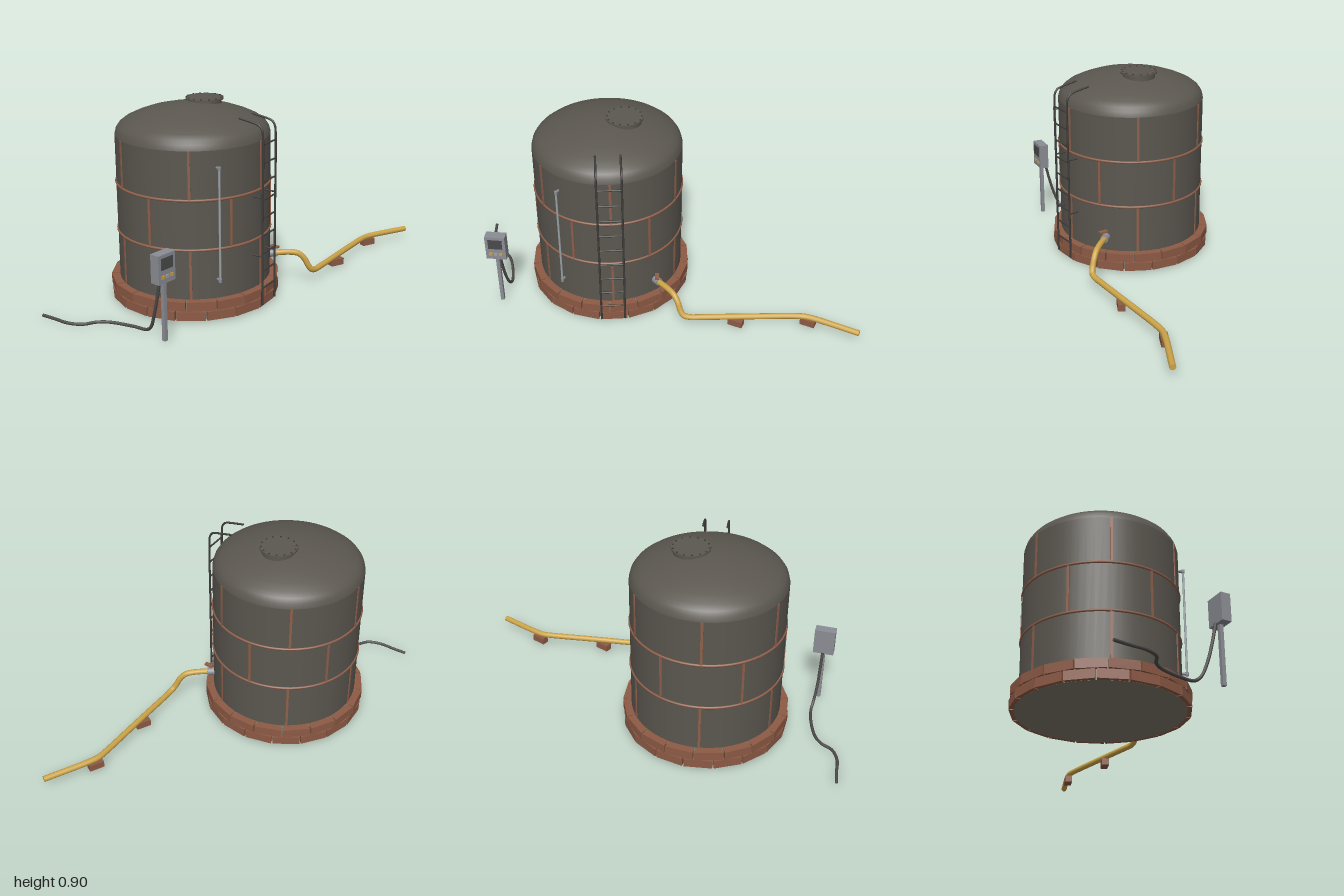
import * as THREE from 'three';

const mat = (name, color, side = THREE.FrontSide) => {
  const m = new THREE.MeshStandardMaterial({ color, side });
  m.name = name;
  return m;
};
const V = (x, y, z) => new THREE.Vector3(x, y, z);

export function createModel() {
  const M = {
    tank: mat('tank grey', 0x5b5750, THREE.DoubleSide),
    copper: mat('seam copper', 0x8f5f4a),
    brick: mat('brick', 0x8d5a45),
    mortar: mat('mortar', 0x7d7666),
    pipe: mat('yellow pipe', 0xcba348),
    iron: mat('dark iron', 0x3f3d3b),
    steel: mat('steel', 0x8b8d94),
    glass: mat('gauge glass', 0x9aa3a8),
    screen: mat('screen', 0x4a4a4a),
    cable: mat('cable', 0x4c4b49),
  };
  const model = new THREE.Group();
  const CX = -0.272, CZ = -0.041, R = 0.347;

  const add = (parent, name, geo, material, x = 0, y = 0, z = 0, ry = 0) => {
    const m = new THREE.Mesh(geo, material);
    m.name = name;
    m.position.set(x, y, z);
    m.rotation.y = ry;
    parent.add(m);
    return m;
  };
  // straight round bar between two points
  const bar = (parent, name, a, b, r, material, sides = 10) => {
    const m = add(parent, name, new THREE.CylinderGeometry(r, r, a.distanceTo(b), sides), material);
    m.position.copy(a).add(b).multiplyScalar(0.5);
    m.quaternion.setFromUnitVectors(V(0, 1, 0), b.clone().sub(a).normalize());
    return m;
  };
  // swept tube with closed ends
  const tube = (parent, name, pts, r, material, segs = 80, sides = 14) => {
    const curve = new THREE.CatmullRomCurve3(pts, false, 'centripetal');
    add(parent, name, new THREE.TubeGeometry(curve, segs, r, sides), material);
    for (const t of [0, 1]) {
      const cap = add(parent, name + 'End', new THREE.CircleGeometry(r, sides), material);
      cap.position.copy(curve.getPoint(t));
      cap.quaternion.setFromUnitVectors(V(0, 0, 1), curve.getTangent(t).multiplyScalar(t ? 1 : -1));
    }
  };

  // tank group: local axes centred on the tank
  const tank = new THREE.Group();
  tank.name = 'tank';
  tank.position.set(CX, 0, CZ);
  model.add(tank);
  add(tank, 'tankWall', new THREE.CylinderGeometry(R, R, 0.665, 64, 1, true), M.tank, 0, 0.4225, 0);
  const dome = [[R, 0.755], [0.341, 0.778], [0.328, 0.797], [0.305, 0.815], [0.265, 0.834],
    [0.21, 0.854], [0.14, 0.871], [0.07, 0.882], [0, 0.885]].map(p => new THREE.Vector2(...p));
  add(tank, 'tankDome', new THREE.LatheGeometry(dome, 64), M.tank);

  // copper bands and staggered vertical seams
  for (const y of [0.318, 0.54]) {
    const ring = add(tank, 'band', new THREE.TorusGeometry(R, 0.006, 8, 64), M.copper, 0, y, 0);
    ring.rotation.x = Math.PI / 2;
  }
  [[0.095, 0.318, 0], [0.318, 0.54, 30], [0.54, 0.755, 0]].forEach(([y0, y1, off]) => {
    for (let i = 0; i < 6; i++) {
      const a = THREE.MathUtils.degToRad(off + i * 60);
      add(tank, 'seam', new THREE.BoxGeometry(0.007, y1 - y0, 0.011), M.copper,
        R * Math.cos(a), (y0 + y1) / 2, R * Math.sin(a), -a);
    }
  });

  // hatch with bolts
  const hatch = new THREE.Group();
  hatch.name = 'hatch';
  hatch.position.set(0.077, 0, -0.031);
  tank.add(hatch);
  add(hatch, 'hatchNeck', new THREE.CylinderGeometry(0.077, 0.077, 0.03, 40), M.tank, 0, 0.875, 0);
  add(hatch, 'hatchLid', new THREE.CylinderGeometry(0.086, 0.086, 0.008, 40), M.tank, 0, 0.893, 0);
  for (let i = 0; i < 14; i++) {
    const a = i / 14 * Math.PI * 2;
    add(hatch, 'hatchBolt', new THREE.CylinderGeometry(0.004, 0.004, 0.004, 6), M.iron,
      0.079 * Math.cos(a), 0.898, 0.079 * Math.sin(a));
  }

  // brick footing: two staggered courses around a mortar slab
  add(tank, 'slab', new THREE.CylinderGeometry(0.364, 0.364, 0.083, 64), M.mortar, 0, 0.0475, 0);
  const brickGeo = new THREE.BoxGeometry(0.127, 0.041, 0.07);
  const bp = brickGeo.attributes.position;
  for (let i = 0; i < bp.count; i++) if (bp.getZ(i) < 0) bp.setX(i, bp.getX(i) * 0.81);
  brickGeo.computeVertexNormals();
  [[0.027, 0], [0.072, 7]].forEach(([y, off]) => {
    for (let i = 0; i < 18; i++) {
      const a = THREE.MathUtils.degToRad(90 + off + i * 20);
      add(tank, 'brick', brickGeo, M.brick, 0.346 * Math.sin(a), y, 0.346 * Math.cos(a), a);
    }
  });

  // ladder: local z points away from the tank, local x along the rungs
  const ladder = new THREE.Group();
  ladder.name = 'ladder';
  ladder.position.set(CX, 0, CZ);
  ladder.rotation.y = THREE.MathUtils.degToRad(29.5);
  model.add(ladder);
  const LZ = 0.391, LX = 0.055;
  for (const s of [-1, 1]) {
    const x = s * LX;
    tube(ladder, 'ladderRail', [V(x, 0.02, LZ), V(x, 0.4, LZ), V(x, 0.79, LZ), V(x, 0.815, LZ - 0.003),
      V(x, 0.834, LZ - 0.014), V(x, 0.842, LZ - 0.032), V(x, 0.858, LZ - 0.118)], 0.005, M.iron, 90, 8);
    for (const y of [0.25, 0.52])
      bar(ladder, 'ladderBracket', V(x, y, LZ), V(x, y, LZ - 0.065), 0.004, M.iron, 8);
  }
  for (let i = 0; i < 9; i++) {
    const y = 0.1 + i * 0.0819;
    bar(ladder, 'ladderRung', V(-LX, y, LZ), V(LX, y, LZ), 0.004, M.iron, 8);
  }

  // sight gauge
  const gx = -0.335, gz = 0.322;
  bar(model, 'gaugeTube', V(gx, 0.175, gz), V(gx, 0.685, gz), 0.005, M.glass);
  for (const y of [0.18, 0.68]) {
    bar(model, 'gaugeFitting', V(gx, y, 0.29), V(gx, y, gz + 0.006), 0.006, M.steel);
    bar(model, 'gaugeNut', V(gx, y - 0.008, gz), V(gx, y + 0.008, gz), 0.008, M.steel, 8);
  }

  // outlet collar, plate above it, and pipe
  bar(model, 'outletCollar', V(0.033, 0.16, 0.1), V(0.072, 0.16, 0.117), 0.019, M.steel, 24);
  add(model, 'outletPlate', new THREE.BoxGeometry(0.02, 0.008, 0.042), M.copper, 0.062, 0.194, 0.12, 0.45);
  tube(model, 'pipe', [V(0.05, 0.16, 0.108), V(0.135, 0.16, 0.144), V(0.17, 0.151, 0.16), V(0.195, 0.125, 0.172),
    V(0.212, 0.09, 0.18), V(0.23, 0.067, 0.183), V(0.26, 0.058, 0.172), V(0.3, 0.057, 0.151),
    V(0.5, 0.056, 0.047), V(0.69, 0.054, -0.052), V(0.735, 0.053, -0.071), V(0.78, 0.053, -0.077),
    V(1, 0.05, -0.077)], 0.0138, M.pipe, 140);
  for (const [x, z] of [[0.45, 0.072], [0.755, -0.078]])
    add(model, 'pipeSupport', new THREE.BoxGeometry(0.07, 0.032, 0.034), M.brick, x, 0.024, z);

  // control box on a post
  const panel = new THREE.Group();
  panel.name = 'controlBox';
  panel.position.set(-0.637, 0, 0.397);
  panel.rotation.y = THREE.MathUtils.degToRad(20);
  model.add(panel);
  add(panel, 'boxPost', new THREE.BoxGeometry(0.017, 0.27, 0.017), M.steel, 0, 0.14, 0);
  add(panel, 'boxCase', new THREE.BoxGeometry(0.095, 0.125, 0.045), M.steel, 0, 0.333, 0);
  add(panel, 'boxScreen', new THREE.BoxGeometry(0.066, 0.05, 0.004), M.screen, 0, 0.356, 0.0235);
  for (const x of [-0.024, 0, 0.024])
    add(panel, 'boxButton', new THREE.BoxGeometry(0.016, 0.014, 0.006), x ? M.pipe : M.glass, x, 0.3, 0.0235);

  // power cable along the ground
  tube(model, 'cable', [V(-0.643, 0.275, 0.376), V(-0.648, 0.19, 0.358), V(-0.654, 0.1, 0.333), V(-0.657, 0.035, 0.305),
    V(-0.664, 0.01, 0.275), V(-0.7, 0.007, 0.21), V(-0.775, 0.007, 0.12), V(-0.82, 0.007, 0.095),
    V(-0.88, 0.007, 0.085), V(-0.93, 0.007, 0.04), V(-0.965, 0.007, -0.03), V(-0.996, 0.007, 0.088 * -1)],
    0.007, M.cable, 100, 10);

  return model;
}
